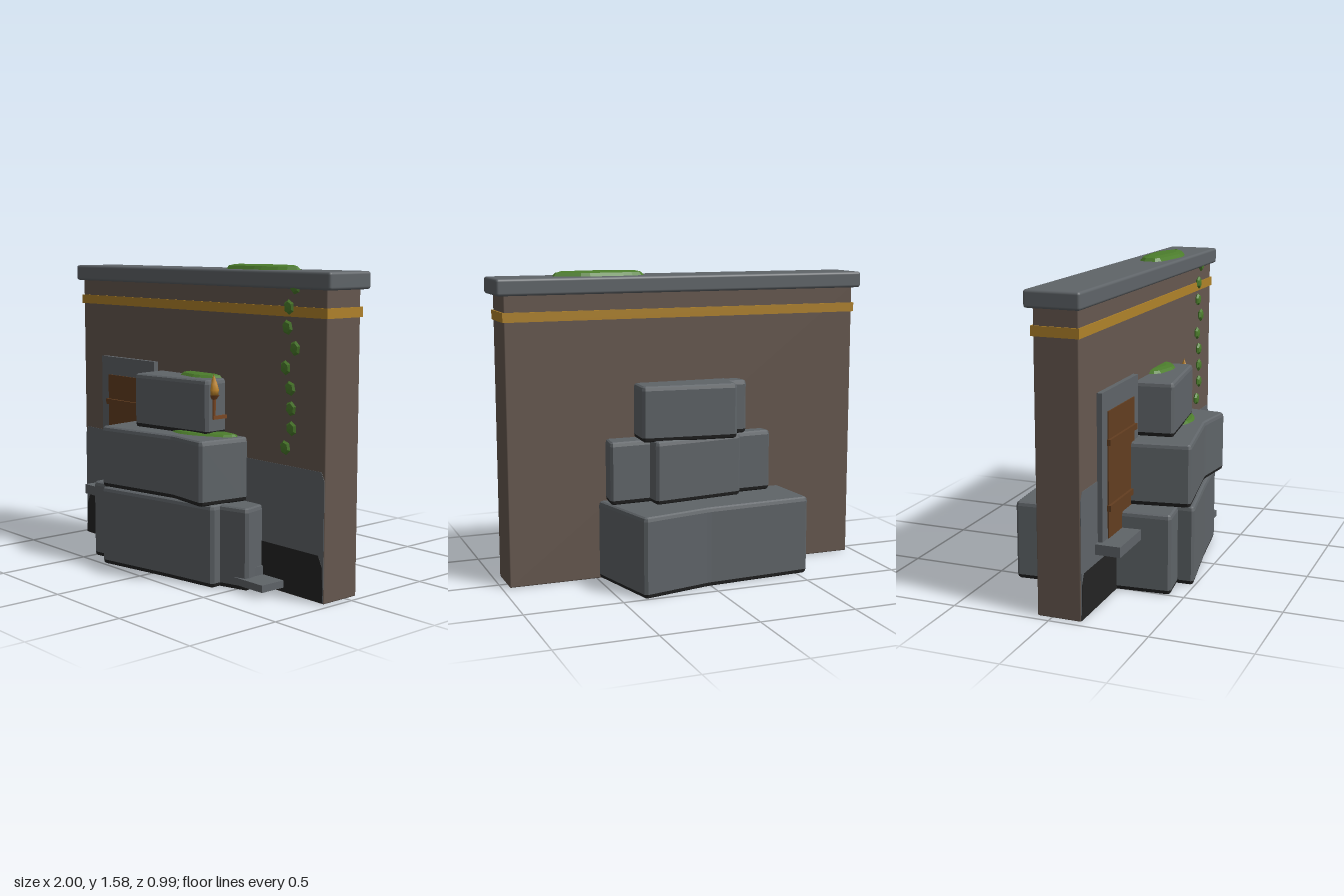
import * as THREE from 'three';
import { RoundedBoxGeometry } from 'three/addons/geometries/RoundedBoxGeometry.js';

const mat = (name, color, extra = {}) => {
  const m = new THREE.MeshStandardMaterial({ color, ...extra });
  m.name = name;
  return m;
};

export function createModel() {
  const group = new THREE.Group();
  const wallMat = mat('brown wall', 0x66584f);
  const stone = mat('grey stone', 0x5f6468);
  const dark = mat('dark footing', 0x242424);
  const gold = mat('gold trim', 0xb0822a);
  const wood = mat('door wood', 0x633e20);
  const moss = mat('moss green', 0x4c7d2c);
  const leaf = mat('leaf green', 0x4c7d2c, { flatShading: true });
  const bracketMat = mat('bracket brown', 0x7a4722);
  const flameMat = mat('flame amber', 0xc0862c);

  const add = (name, geo, material, x = 0, y = 0, z = 0) => {
    const m = new THREE.Mesh(geo, material);
    m.name = name;
    m.position.set(x, y, z);
    group.add(m);
    return m;
  };

  // box given by its limits on each axis
  const box = (name, material, [x0, x1], [y0, y1], [z0, z1], r = 0) => {
    const s = [x1 - x0, y1 - y0, z1 - z0];
    const geo = r ? new RoundedBoxGeometry(...s, 2, r) : new THREE.BoxGeometry(...s);
    return add(name, geo, material, (x0 + x1) / 2, (y0 + y1) / 2, (z0 + z1) / 2);
  };

  // upright prism over an [x, z] outline, with cut corners and bevelled rims
  const prism = (pts, y0, y1, bevel, rim, cut) => {
    const v = pts.map(([x, z]) => new THREE.Vector2(x, -z));
    const outline = [];
    v.forEach((p, i) => {
      for (const q of [v[(i + v.length - 1) % v.length], v[(i + 1) % v.length]]) {
        outline.push(p.clone().add(q.clone().sub(p).setLength(cut)));
      }
    });
    const geo = new THREE.ExtrudeGeometry(new THREE.Shape(outline), {
      depth: y1 - y0 - 2 * rim, bevelThickness: rim, bevelSize: bevel,
      bevelOffset: -bevel, bevelSegments: 2, steps: 1,
    });
    geo.rotateX(-Math.PI / 2);
    geo.translate(0, y0 + rim, 0);
    return geo;
  };

  // stone block whose lowest rim and underside are dark
  const block = (name, pts, y0, y1) => {
    const rim = 0.022;
    const geo = prism(pts, y0, y1, 0.013, rim, 0.014);
    const p = geo.attributes.position;
    geo.clearGroups();
    let start = 0, last = -1;
    for (let i = 0; i < p.count; i += 3) {
      const low = (p.getY(i) + p.getY(i + 1) + p.getY(i + 2)) / 3 < y0 + rim - 0.001 ? 1 : 0;
      if (low !== last && i > 0) {
        geo.addGroup(start, i - start, last);
        start = i;
      }
      last = low;
    }
    geo.addGroup(start, p.count - start, last);
    add(name, geo, [stone, dark]);
  };

  // wall, coping and trim band
  box('wall', wallMat, [-0.96, 0.96], [0, 1.48], [-0.073, 0.15], 0.006);
  box('coping', stone, [-1, 1], [1.472, 1.556], [-0.103, 0.175], 0.014);
  box('trimBand', gold, [-0.968, 0.968], [1.342, 1.39], [-0.082, 0.157]);

  // painted lower wall: grey dado with a dark skirting in front
  const plate = (name, half, material, z) => {
    const mirrored = half.map(([x, y]) => [-x, y]).reverse();
    const shape = new THREE.Shape([...half, ...mirrored].map((p) => new THREE.Vector2(...p)));
    add(name, new THREE.ExtrudeGeometry(shape, { depth: 0.003, bevelEnabled: false }), material, 0, 0, z);
  };
  plate('dado', [[0.957, 0.005], [0.957, 0.59], [0.938, 0.63]], stone, 0.149);
  plate('skirting', [[0.957, 0.005], [0.948, 0.18], [0.925, 0.23]], dark, 0.151);

  // stacked stones passing through the wall, two per tier
  block('lowerStoneRear', [[-0.56, -0.38], [0.015, -0.417], [0.385, -0.5], [0.565, 0.275],
    [0.4, 0.32], [-0.5, 0.43]], 0, 0.41);
  block('lowerStoneFront', [[-0.345, 0.1], [0.4, 0.1], [0.415, 0.37], [0.08, 0.42],
    [-0.335, 0.495]], 0, 0.412);
  block('middleStoneFront', [[-0.45, -0.145], [0.46, -0.195], [0.42, 0.17], [0.388, 0.425],
    [0.14, 0.395], [-0.35, 0.48]], 0.41, 0.732);
  block('middleStoneRear', [[-0.255, -0.2], [0.24, -0.27], [0.26, 0.05], [-0.24, 0.05]], 0.408, 0.734);
  block('upperStoneFront', [[-0.305, -0.16], [0.23, -0.2], [0.27, 0.28], [-0.235, 0.348]], 0.73, 1.01);
  block('upperStoneRear', [[-0.2, -0.277], [0.3, -0.23], [0.285, 0.05], [-0.235, 0.05]], 0.728, 1.012);

  // door with frame, straps and sill
  const frameX = [-0.757, -0.285];
  box('doorPostRight', stone, [frameX[0], -0.69], [0.28, 1.055], [0.13, 0.176]);
  box('doorPostLeft', stone, [-0.35, frameX[1]], [0.28, 1.055], [0.13, 0.176]);
  box('doorLintel', stone, [-0.69, -0.35], [0.955, 1.055], [0.13, 0.176]);
  box('door', wood, [-0.69, -0.35], [0.32, 0.955], [0.13, 0.182]);
  for (const y of [0.48, 0.805]) box('doorStrap', wood, [-0.697, -0.343], [y - 0.015, y + 0.015], [0.15, 0.195]);
  box('doorSill', stone, [-0.79, -0.26], [0.276, 0.328], [0.13, 0.28]);

  // small steps beside the stones
  box('lowerStep', stone, [0.45, 0.695], [0.026, 0.062], [0.14, 0.297]);
  box('upperStep', stone, [0.4, 0.55], [0.06, 0.106], [0.14, 0.222]);

  // moss patches
  const patch = (name, pts, y, h) => add(name, prism(pts, y - h, y + h, 0.045, h, 0.025), moss);
  patch('copingMoss', [[0.2, 0], [0.3, -0.03], [0.53, -0.04], [0.695, 0.045], [0.62, 0.11],
    [0.48, 0.147], [0.2, 0.11]], 1.556, 0.024);
  patch('upperMoss', [[-0.06, 0.12], [0.08, 0.08], [0.24, 0.12], [0.23, 0.18], [0.12, 0.235],
    [-0.05, 0.2]], 1.01, 0.018);
  patch('middleMoss', [[0, 0.22], [0.2, 0.14], [0.39, 0.16], [0.37, 0.23], [0.2, 0.32],
    [0.1, 0.335], [0.01, 0.3]], 0.732, 0.015);

  // trail of leaves down the wall
  const leafX = [0.762, 0.722, 0.713, 0.765, 0.702, 0.735, 0.741, 0.745, 0.704];
  const leafGeo = new THREE.SphereGeometry(0.037, 6, 4).rotateX(Math.PI / 2).scale(0.95, 1, 0.36);
  leafX.forEach((x, i) => {
    add('vineLeaf', leafGeo, leaf, x, 1.483 - i * 0.0957, 0.16).rotation.z = 0.35 + 0.2 * (i % 3);
  });

  // wall torch: bracket, cup and flame
  const tx = 0.266, tz = 0.231;
  box('torchArm', bracketMat, [tx - 0.009, tx + 0.009], [0.811, 0.829], [0.145, 0.24]);
  add('torchPost', new THREE.CylinderGeometry(0.011, 0.009, 0.1, 8), bracketMat, tx, 0.867, tz);
  add('torchCup', new THREE.CylinderGeometry(0.028, 0.014, 0.022, 8), bracketMat, tx, 0.923, tz);
  const flame = [[0, 0], [0.022, 0.004], [0.026, 0.03], [0.018, 0.06], [0, 0.108]];
  add('torchFlame', new THREE.LatheGeometry(flame.map((p) => new THREE.Vector2(...p)), 8), flameMat, tx, 0.93, tz);

  return group;
}
